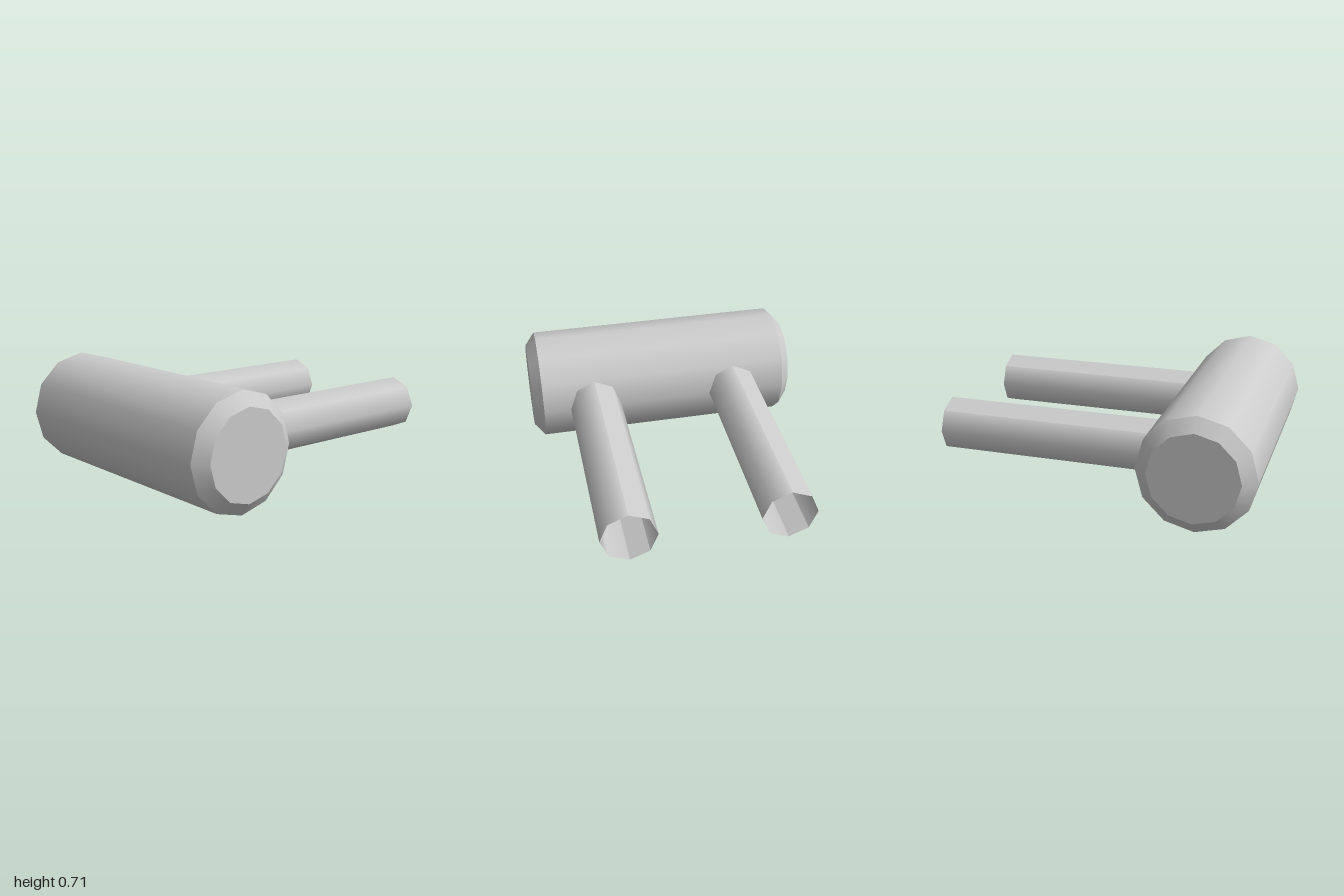
import * as THREE from 'three';

const R = 0.353;         // barrel radius
const CAP_R = 0.272;     // end cap radius
const HALF = 0.815;      // half length of the straight barrel
const END = 0.88;        // half length including bevels
const CENTRE_Z = 0.647;

export function createModel() {
  const group = new THREE.Group();
  const grey = new THREE.MeshStandardMaterial({ color: 0xcccccc, side: THREE.DoubleSide });
  grey.name = 'light grey';

  const add = (parent, geometry, name) => {
    const mesh = new THREE.Mesh(geometry, grey);
    mesh.name = name;
    parent.add(mesh);
    return mesh;
  };

  // Twelve-sided barrel lying along x, with bevelled ends
  const barrel = new THREE.Group();
  barrel.name = 'barrel';
  barrel.position.set(0, R, CENTRE_Z);
  group.add(barrel);
  add(barrel, new THREE.CylinderGeometry(R, R, HALF * 2, 12, 1, true).rotateZ(Math.PI / 2), 'barrelWall');
  for (const side of [1, -1]) {
    const turn = -side * Math.PI / 2;
    const bevel = new THREE.CylinderGeometry(CAP_R, R, END - HALF, 12, 1, true).rotateZ(turn);
    add(barrel, bevel, 'endBevel').position.x = side * (HALF + END) / 2;
    const cap = new THREE.CircleGeometry(CAP_R, 12).rotateY(side * Math.PI / 2);
    add(barrel, cap, 'endCap').position.x = side * END;
  }

  // Two open eight-sided posts reaching back; each is made of smooth arcs meeting at hard edges
  const arcs = [[0, 90], [90, 135], [135, 225], [225, 270], [270, 360]];
  const front = 0.38, back = -1;
  for (const x of [-0.47, 0.47]) {
    const post = new THREE.Group();
    post.name = x < 0 ? 'rightPost' : 'leftPost';
    post.position.set(x, 0.356, (front + back) / 2);
    group.add(post);
    for (const [from, to] of arcs) {
      const wall = new THREE.CylinderGeometry(0.168, 0.168, front - back, (to - from) / 45, 1, true,
        THREE.MathUtils.degToRad(from + 90), THREE.MathUtils.degToRad(to - from));
      // Single facets get a flat normal
      const facet = to - from === 45 ? wall.toNonIndexed() : wall;
      if (facet !== wall) facet.computeVertexNormals();
      add(post, facet.rotateX(Math.PI / 2), 'postWall');
    }
  }
  return group;
}
